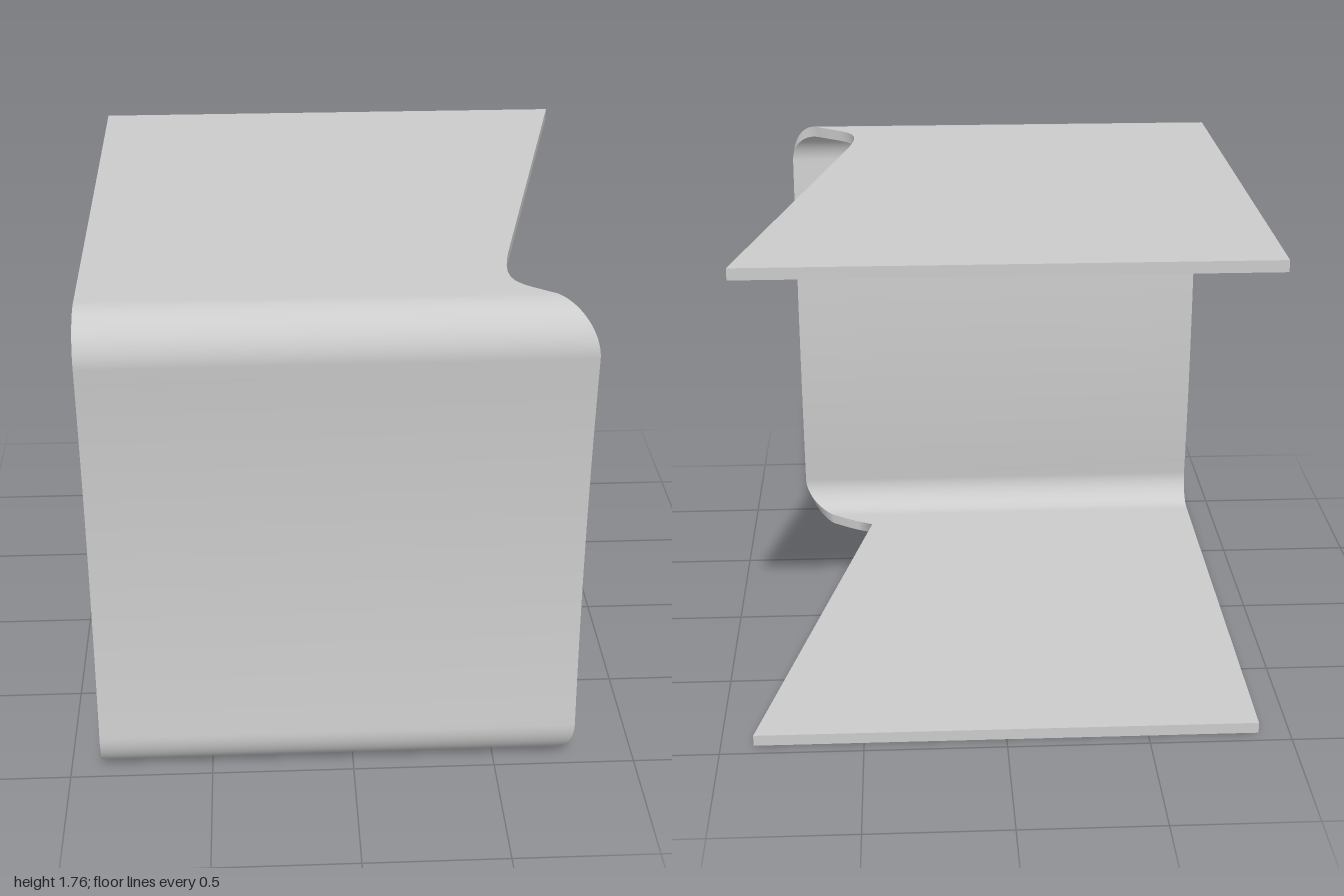
import * as THREE from 'three';
import { mergeGeometries } from 'three/addons/utils/BufferGeometryUtils.js';

const LEFT = -0.89, HEIGHT = 1.76, THICK = 0.04;
const CORNER_Z = 0.85, RADIUS = 0.15, OVERTURN = 0.1; // bend centre, radius, extra turn into the bow

// Free edge of each shelf as [z, x], from back to front
const TOP_EDGE = [[-1, 0.885], [0.5, 0.541], [0.56, 0.529], [0.61, 0.522], [0.66, 0.519], [0.7, 0.522],
  [0.735, 0.533], [0.765, 0.553], [0.79, 0.58], [0.82, 0.62]];
const BOTTOM_EDGE = [[-0.95, 0.885], [0.745, 0.49], [0.775, 0.55], [0.81, 0.605]];

// Stations along half of the bent sheet, measured from the outer face of a shelf (y = 0) upwards
function halfStations(edge) {
  const list = edge.map(([z, x]) => ({ z, y: 0, nz: 0, ny: -1, x }));
  const steps = 16, turn = Math.PI / 2 + OVERTURN;
  for (let i = 0; i <= steps; i++) {
    const a = turn * i / steps;
    const nz = Math.sin(a), ny = -Math.cos(a);
    const x = 0.66 + 0.12 * Math.sin(Math.PI / 2 * i / steps);
    list.push({ z: CORNER_Z + RADIUS * nz, y: RADIUS + RADIUS * ny, nz, ny, x });
  }
  return list;
}

// Smooth surface between two rows of points
function ribbon(a, b) {
  const positions = [], index = [];
  a.forEach((p, i) => {
    positions.push(...p, ...b[i]);
    if (i < a.length - 1) {
      const k = 2 * i;
      index.push(k, k + 2, k + 1, k + 1, k + 2, k + 3);
    }
  });
  const g = new THREE.BufferGeometry();
  g.setAttribute('position', new THREE.Float32BufferAttribute(positions, 3));
  g.setIndex(index);
  g.computeVertexNormals();
  return g;
}

export function createModel() {
  const group = new THREE.Group();
  group.name = 'bentSheetStand';

  // Profile: top shelf and bend, bowed front panel, bottom bend and shelf
  const top = halfStations(TOP_EDGE).map(s => ({ ...s, y: HEIGHT - s.y, ny: -s.ny }));
  const bottom = halfStations(BOTTOM_EDGE).reverse();
  const start = top[top.length - 1], end = bottom[0];
  const mid = HEIGHT / 2, half = start.y - mid, sag = 0.036;
  const panel = [];
  for (let i = 1; i < 24; i++) {
    const y = THREE.MathUtils.lerp(start.y, end.y, i / 24);
    const t = (y - mid) / half;
    const n = new THREE.Vector2(1, -2 * sag * t / half).normalize();
    panel.push({ z: start.z - sag * (1 - t * t), y, nz: n.x, ny: n.y, x: 0.78 });
  }
  const stations = [...top, ...panel, ...bottom];

  const row = (right, depth) => stations.map(s =>
    [right ? s.x : LEFT, s.y - s.ny * depth, s.z - s.nz * depth]);
  const outL = row(false, 0), outR = row(true, 0);
  const inL = row(false, THICK), inR = row(true, THICK);
  const n = stations.length - 1;

  // Faces, side edges and the two back ends
  const geometry = mergeGeometries([
    ribbon(outL, outR),
    ribbon(outR, inR),
    ribbon(inR, inL),
    ribbon(inL, outL),
    ribbon([inL[0], outL[0]], [inR[0], outR[0]]),
    ribbon([outL[n], inL[n]], [outR[n], inR[n]]),
  ]);
  const sheet = new THREE.Mesh(geometry, new THREE.MeshStandardMaterial({ color: 0xcccccc }));
  sheet.name = 'bentSheet';
  group.add(sheet);
  return group;
}
